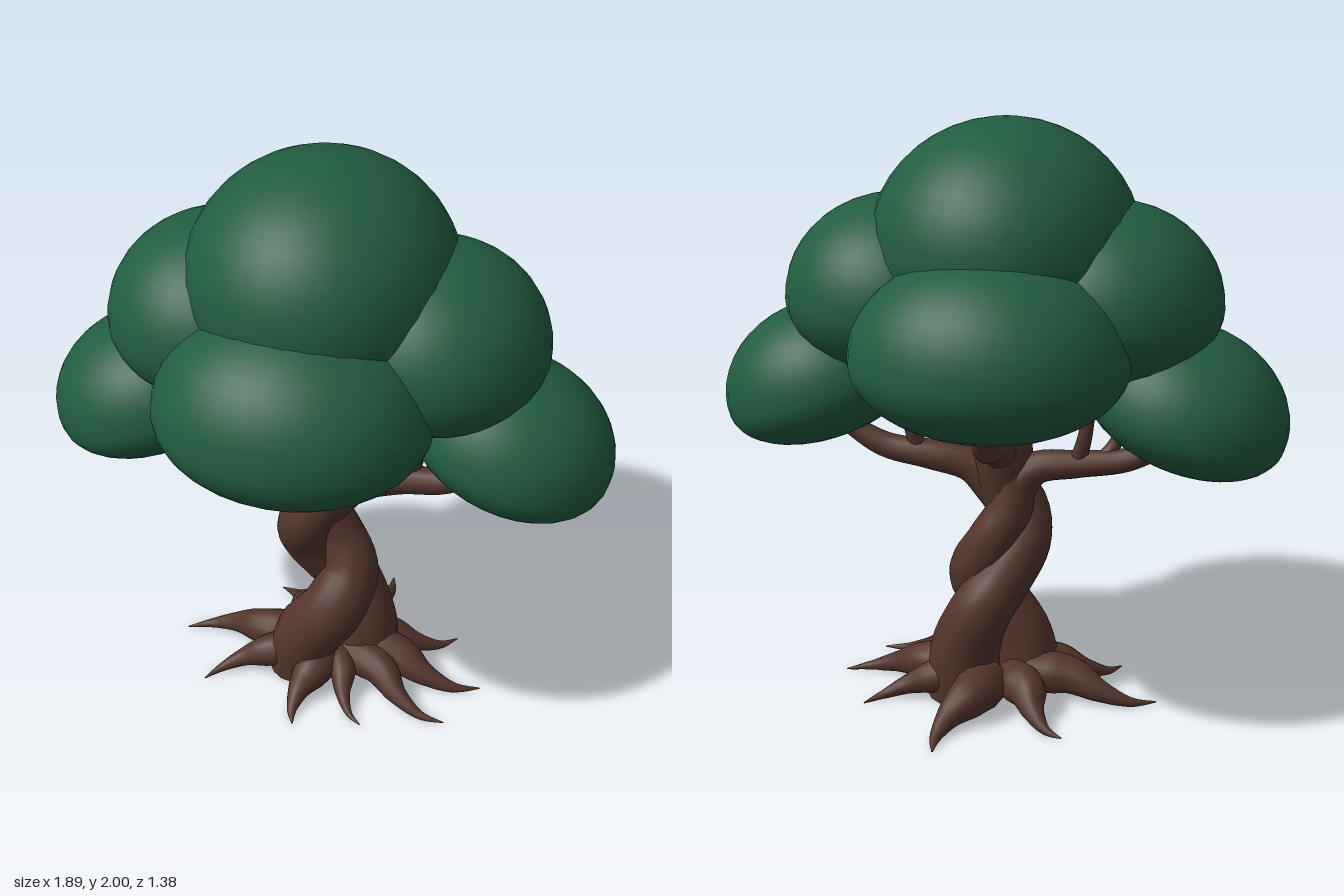
import * as THREE from 'three';
import { mergeVertices } from 'three/addons/utils/BufferGeometryUtils.js';

const bark = new THREE.MeshStandardMaterial({ color: 0x53352c });
bark.name = 'bark brown';
const leaf = new THREE.MeshStandardMaterial({ color: 0x225c40 });
leaf.name = 'leaf green';

// Smooth tube along a path whose radius follows a list of values
function limb(name, points, radii, segments = 24, sides = 14) {
  const curve = new THREE.CatmullRomCurve3(points.map(p => new THREE.Vector3(...p)));
  let geo = new THREE.TubeGeometry(curve, segments, 1, sides, false);
  const pos = geo.attributes.position;
  const v = new THREE.Vector3();
  for (let i = 0; i <= segments; i++) {
    const centre = curve.getPointAt(i / segments);
    const f = (i / segments) * (radii.length - 1);
    const k = Math.min(Math.floor(f), radii.length - 2);
    const r = THREE.MathUtils.lerp(radii[k], radii[k + 1], f - k);
    for (let j = 0; j <= sides; j++) {
      const n = i * (sides + 1) + j;
      v.fromBufferAttribute(pos, n).sub(centre).multiplyScalar(r).add(centre);
      pos.setXYZ(n, v.x, Math.max(v.y, 0), v.z);
    }
  }
  geo.deleteAttribute('uv');
  geo.deleteAttribute('normal');
  geo = mergeVertices(geo, 1e-5);
  geo.computeVertexNormals();
  const mesh = new THREE.Mesh(geo, bark);
  mesh.name = name;
  return mesh;
}

// Leaf cushion: an ellipsoid with different heights above and below its middle
function cushion(name, centre, rx, up, down, rz, tilt = 0) {
  const geo = new THREE.SphereGeometry(1, 32, 22);
  const pos = geo.attributes.position;
  const nor = geo.attributes.normal;
  const n = new THREE.Vector3();
  for (let i = 0; i < pos.count; i++) {
    const x = pos.getX(i), y = pos.getY(i), z = pos.getZ(i);
    const ry = y > 0 ? up : down;
    pos.setXYZ(i, x * rx, y * ry, z * rz);
    n.set(x / rx, y / ry, z / rz).normalize();
    nor.setXYZ(i, n.x, n.y, n.z);
  }
  const mesh = new THREE.Mesh(geo, leaf);
  mesh.name = name;
  mesh.position.set(...centre);
  mesh.rotation.z = tilt;
  return mesh;
}

export function createModel() {
  const tree = new THREE.Group();
  tree.name = 'tree';

  // Two trunk strands twisting round each other, and the top of the trunk
  const trunk = new THREE.Group();
  trunk.name = 'trunk';
  trunk.add(
    limb('frontStrand',
      [[-0.09, 0, 0.06], [-0.05, 0.18, 0.085], [0.04, 0.32, 0.085], [0.08, 0.45, 0.01],
        [0.02, 0.58, -0.03], [-0.04, 0.7, -0.02], [-0.04, 0.82, 0], [-0.02, 0.95, 0]],
      [0.12, 0.12, 0.115, 0.105, 0.09, 0.08, 0.07, 0.05], 40, 18),
    limb('backStrand',
      [[0.12, 0, -0.03], [0.11, 0.18, -0.05], [0.05, 0.34, -0.08], [-0.02, 0.45, -0.04],
        [-0.08, 0.57, 0.01], [-0.07, 0.67, 0.06], [0, 0.79, 0.04], [0.02, 0.95, 0]],
      [0.13, 0.125, 0.11, 0.1, 0.095, 0.09, 0.085, 0.07], 40, 18),
    limb('trunkTop',
      [[-0.02, 0.7, 0.02], [-0.01, 0.85, 0.01], [-0.02, 1.0, 0], [-0.02, 1.25, 0]],
      [0.08, 0.1, 0.075, 0.07]),
  );
  tree.add(trunk);

  // Main branches and their twigs
  const branches = new THREE.Group();
  branches.name = 'branches';
  branches.add(
    limb('leftBranch',
      [[0, 0.74, 0.03], [0.1, 0.83, 0.02], [0.24, 0.865, 0], [0.4, 0.89, 0], [0.56, 0.98, 0]],
      [0.08, 0.06, 0.05, 0.042, 0.03]),
    limb('rightBranch',
      [[-0.03, 0.74, 0], [-0.12, 0.84, 0], [-0.26, 0.865, 0], [-0.42, 0.89, 0], [-0.56, 0.95, 0]],
      [0.08, 0.055, 0.046, 0.04, 0.03]),
    limb('leftTwig', [[0.27, 0.87, 0], [0.3, 0.97, -0.02], [0.32, 1.12, -0.03]], [0.03, 0.024, 0.018], 12, 10),
    limb('rightTwig', [[-0.26, 0.87, 0], [-0.285, 0.95, -0.02], [-0.31, 1.1, -0.03]], [0.03, 0.024, 0.018], 12, 10),
    limb('rightOuterTwig', [[-0.34, 0.88, 0], [-0.38, 0.93, 0.02], [-0.42, 1.04, 0.03]], [0.028, 0.022, 0.018], 12, 10),
  );
  for (const s of [1, -1]) {
    branches.add(limb(s > 0 ? 'frontBranch' : 'backBranch',
      [[-0.01, 0.88, 0], [-0.01, 0.95, s * 0.12], [-0.01, 0.99, s * 0.26], [-0.02, 1.12, s * 0.38]],
      [0.07, 0.05, 0.042, 0.03]));
  }
  tree.add(branches);

  // Roots spreading to points on the ground: tip x, tip z, thickness
  const roots = new THREE.Group();
  roots.name = 'roots';
  const tips = [
    [0.57, 0.03, 0.075], [0.48, 0.23, 0.065], [-0.03, 0.38, 0.075], [-0.4, 0.25, 0.065],
    [-0.55, 0.01, 0.07], [-0.27, -0.3, 0.07], [0.13, -0.47, 0.08], [0.44, -0.2, 0.065],
    [0.2, 0.32, 0.05],
  ];
  for (const [x, z, r] of tips) {
    const bend = 0.06;
    const at = (t, y, b) => [x * t - z * b, y, z * t + x * b];
    roots.add(limb('root',
      [at(0.18, 0.08, 0), at(0.45, 0.08, 0), at(0.65, 0.045, bend), at(0.85, 0.012, bend), at(1, 0.004, 0)],
      [r, r * 1.05, r * 0.85, r * 0.5, r * 0.25, 0.002]));
  }
  tree.add(roots);

  // Leaf cushions
  const foliage = new THREE.Group();
  foliage.name = 'foliage';
  foliage.add(
    cushion('crown', [-0.02, 1.6, 0], 0.435, 0.4, 0.3, 0.455),
    cushion('frontCushion', [-0.03, 1.3, 0.32], 0.44, 0.34, 0.245, 0.37),
    cushion('backCushion', [-0.03, 1.3, -0.32], 0.44, 0.34, 0.245, 0.37),
    cushion('leftCushion', [0.34, 1.42, -0.005], 0.365, 0.33, 0.25, 0.375),
    cushion('rightCushion', [-0.36, 1.42, -0.005], 0.365, 0.33, 0.25, 0.375),
    cushion('leftOuterCushion', [0.6, 1.1, 0], 0.345, 0.28, 0.185, 0.31, -0.35),
    cushion('rightOuterCushion', [-0.61, 1.08, 0], 0.345, 0.28, 0.185, 0.325, 0.35),
  );
  tree.add(foliage);
  return tree;
}
